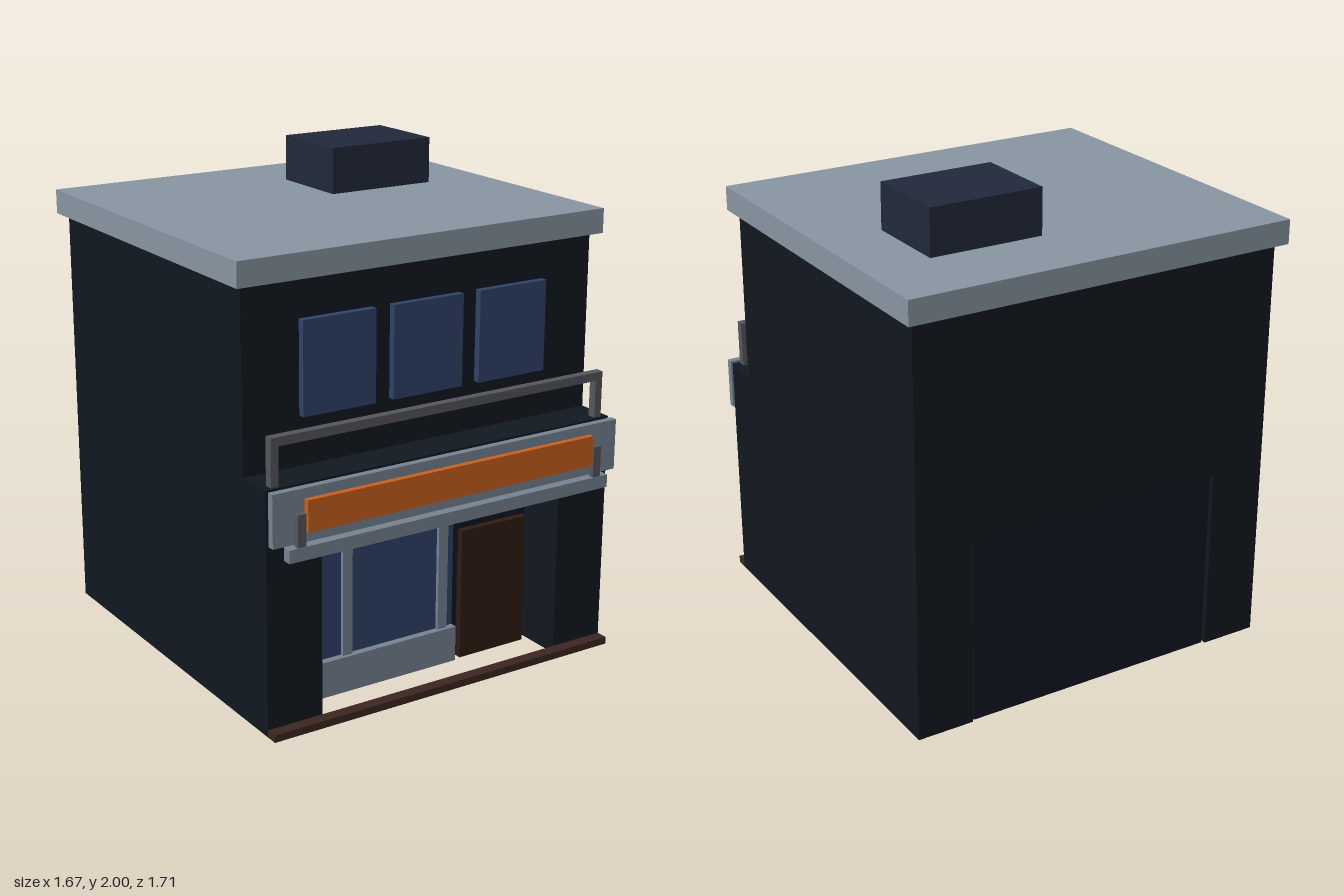
import * as THREE from 'three';

const mat = (color) => new THREE.MeshStandardMaterial({ color });

export function createModel() {
  const model = new THREE.Group();
  model.name = 'shopBuilding';

  const wall = mat(0x111820), interior = mat(0x10161f), glass = mat(0x2f4268);
  const trim = mat(0x768292), roofing = mat(0x8794a0), orange = mat(0xc8601c);
  const wood = mat(0x2f1b14), step = mat(0x3b2520), metal = mat(0x55565c);
  const dark = mat(0x20283a);

  // Box given by its min and max along each axis
  const box = (name, material, [x0, x1], [y0, y1], [z0, z1]) => {
    const mesh = new THREE.Mesh(new THREE.BoxGeometry(x1 - x0, y1 - y0, z1 - z0), material);
    mesh.position.set((x0 + x1) / 2, (y0 + y1) / 2, (z0 + z1) / 2);
    mesh.name = name;
    model.add(mesh);
    return mesh;
  };

  // Lower storey: walls around an opening that runs from front to back
  const lower = new THREE.Shape([
    [-0.8, 0], [-0.56, 0], [-0.56, 0.77], [0.56, 0.77],
    [0.56, 0], [0.8, 0], [0.8, 0.985], [-0.8, 0.985],
  ].map(([x, y]) => new THREE.Vector2(x, y)));
  const walls = new THREE.Mesh(
    new THREE.ExtrudeGeometry(lower, { depth: 1.59, bevelEnabled: false }), wall);
  walls.position.z = -0.81;
  walls.name = 'lowerWalls';
  model.add(walls);

  // Upper storey, roof slab and rooftop unit
  box('upperWalls', wall, [-0.8, 0.8], [0.985, 1.71], [-0.81, 0.62]);
  box('roofSlab', roofing, [-0.835, 0.835], [1.71, 1.81], [-0.85, 0.66]);
  box('rooftopUnit', dark, [0.08, 0.56], [1.81, 2.0], [-0.52, -0.15]);

  // Shop block set inside the opening, with its front recessed
  box('shopInterior', interior, [-0.55, 0.55], [0, 0.765], [-0.8, 0.58]);
  box('shopWindow', glass, [-0.52, 0.18], [0.15, 0.74], [0.57, 0.59]);
  box('windowBase', trim, [-0.52, 0.18], [0, 0.15], [0.57, 0.62]);
  for (const x of [-0.355, 0.1]) {
    box('mullion', trim, [x, x + 0.045], [0.15, 0.74], [0.57, 0.605]);
  }
  box('door', wood, [0.21, 0.53], [0, 0.555], [0.57, 0.61]);
  box('frontStep', step, [-0.8, 0.8], [0, 0.03], [0.78, 0.83]);

  // Upper windows
  for (const x of [-0.4, 0, 0.4]) {
    box('upperWindow', glass, [x - 0.16, x + 0.16], [1.185, 1.555], [0.625, 0.655]);
  }

  // Sign band with its panel and lower strip
  box('signBand', trim, [-0.8, 0.8], [0.775, 0.985], [0.8, 0.83]);
  box('signPanel', orange, [-0.665, 0.665], [0.82, 0.945], [0.83, 0.855]);
  box('lowerStrip', trim, [-0.745, 0.745], [0.715, 0.768], [0.815, 0.855]);

  // Balcony rail, its posts and the sign brackets
  box('balconyRail', metal, [-0.77, 0.77], [1.14, 1.175], [0.735, 0.77]);
  for (const s of [-1, 1]) {
    const post = box('railPost', metal, [0.737, 0.77], [0.985, 1.14], [0.735, 0.77]);
    post.position.x *= s;
    const bracket = box('signBracket', metal, [0.672, 0.708], [0.768, 0.895], [0.83, 0.853]);
    bracket.position.x *= s;
  }

  return model;
}
